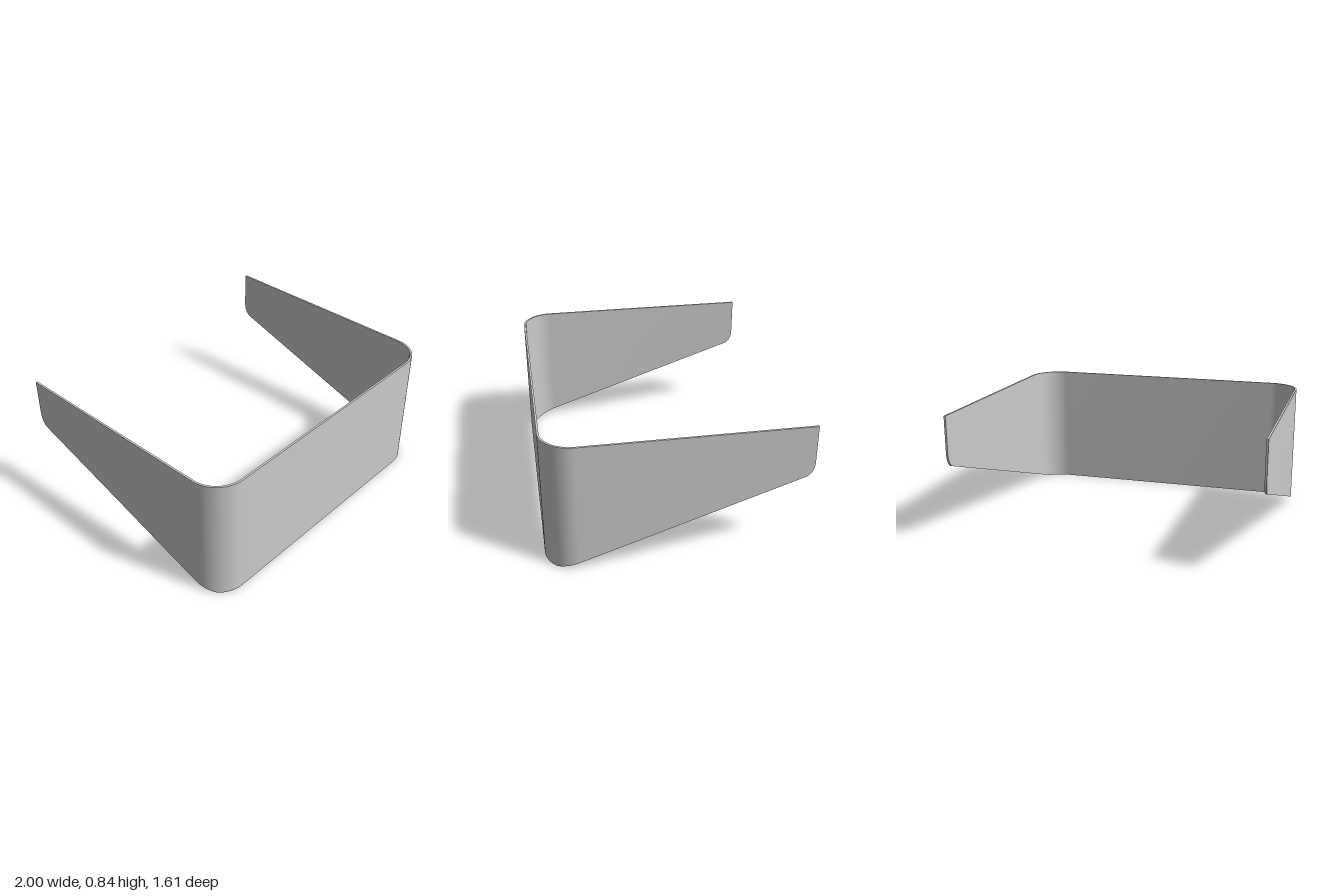
import * as THREE from 'three';
import { toCreasedNormals } from 'three/addons/utils/BufferGeometryUtils.js';

const HEIGHT = 0.84, HALF_W = 1, HALF_D = 0.805, RADIUS = 0.2, THICK = 0.013;

// Lower edge: flat at the front, rising in a straight line towards the back
const lowerEdge = z => Math.max(0, (0.74 - z) * 0.3367);

// Cross-sections of the left half, from the back end to the front corner
function halfSections() {
  const sections = [];
  const add = (x, z, nx, nz, y) => {
    const ix = x - nx * THICK, iz = z - nz * THICK;
    sections.push([
      [x, HEIGHT, z],
      [x, y ?? lowerEdge(z), z],
      [ix, y ?? lowerEdge(iz), iz],
      [ix, HEIGHT, iz],
    ]);
  };
  // rounded lower corner at the back end
  const round = new THREE.QuadraticBezierCurve(
    new THREE.Vector2(-HALF_D, 0.59),
    new THREE.Vector2(-0.8, 0.53),
    new THREE.Vector2(-0.76, lowerEdge(-0.76))
  );
  for (const p of round.getPoints(10)) add(HALF_W, p.x, 1, 0, p.y);
  // rounded vertical corner at the front
  const n = 24;
  for (let i = 0; i <= n; i++) {
    const a = (i / n) * Math.PI / 2, c = Math.cos(a), s = Math.sin(a);
    add(HALF_W - RADIUS + RADIUS * c, HALF_D - RADIUS + RADIUS * s, c, s);
  }
  return sections;
}

// Skin the closed four-point sections and cap both ends
function skin(sections) {
  const index = [];
  for (let i = 0; i < sections.length - 1; i++) {
    for (let k = 0; k < 4; k++) {
      const a = i * 4 + k, a2 = i * 4 + (k + 1) % 4;
      index.push(a, a + 4, a2 + 4, a, a2 + 4, a2);
    }
  }
  const e = (sections.length - 1) * 4;
  index.push(0, 1, 2, 0, 2, 3, e, e + 2, e + 1, e, e + 3, e + 2);
  const geometry = new THREE.BufferGeometry();
  geometry.setAttribute('position', new THREE.Float32BufferAttribute(sections.flat(2), 3));
  geometry.setIndex(index);
  return toCreasedNormals(geometry, 0.6);
}

export function createModel() {
  const group = new THREE.Group();
  group.name = 'wrapAroundPanel';

  // One bent sheet: left wing, front and mirrored right wing
  const left = halfSections();
  const right = left.map(s => s.map(([x, y, z]) => [-x, y, z])).reverse();
  const material = new THREE.MeshStandardMaterial({ color: 0xcccccc });
  const panel = new THREE.Mesh(skin([...left, ...right]), material);
  panel.name = 'bentPanel';
  group.add(panel);
  return group;
}
